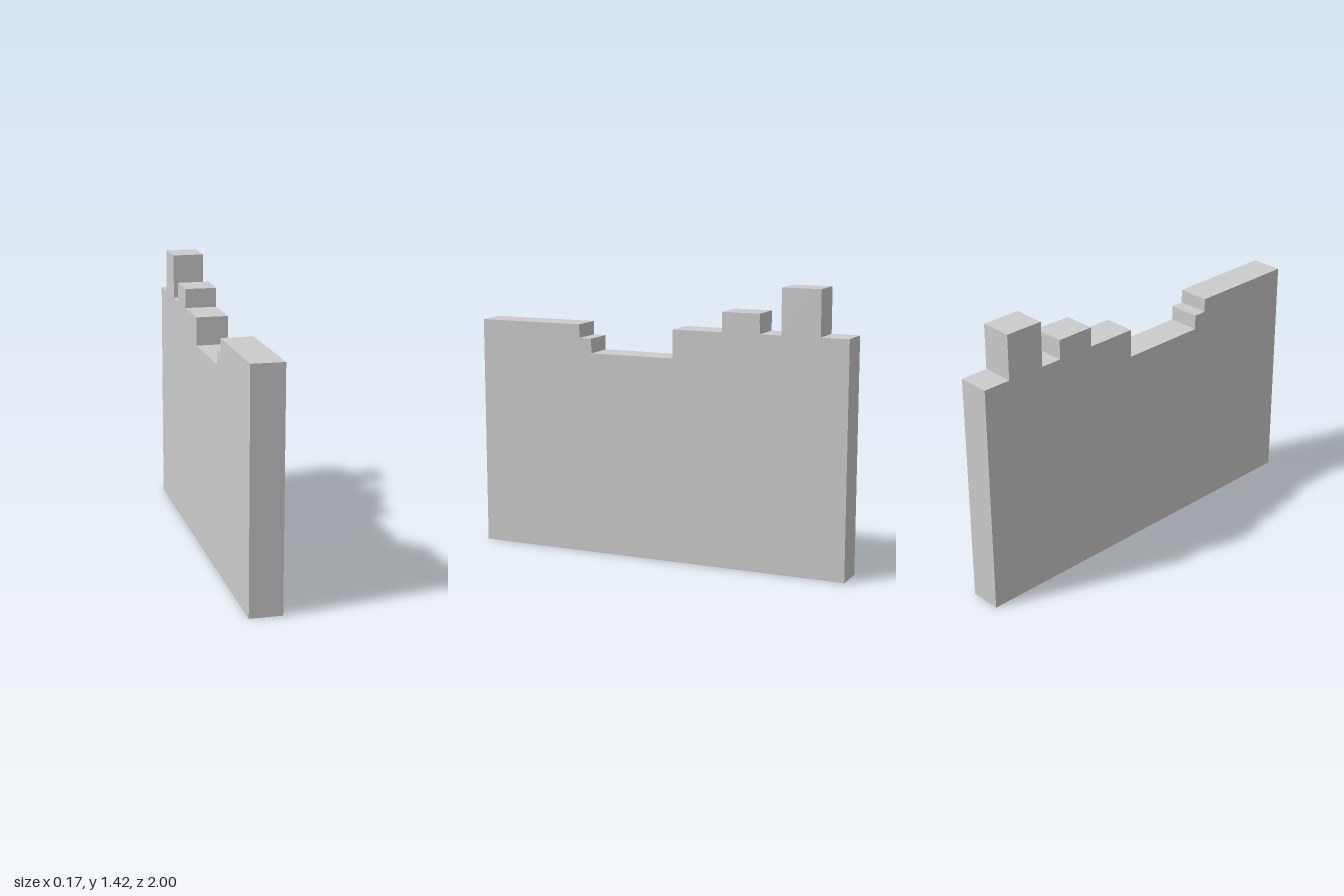
import * as THREE from 'three';

export function createModel() {
  const group = new THREE.Group();
  group.name = 'ruinedWall';
  const material = new THREE.MeshStandardMaterial({ color: 0xcccccc, flatShading: true });
  const left = 0.08, right = -0.083;

  // Stepped wall outline as [z, y], from the back foot round to the back top
  const outline = [
    [-1, 0], [1, 0], [1, 1.19],
    [0.435, 1.19], [0.435, 1.12], [0.367, 1.12], [0.367, 1.045], // broken gap
    [-0.087, 1.045], [-0.087, 1.19],
    [-0.35, 1.19], [-0.35, 1.29], [-0.548, 1.29], [-0.548, 1.19], // low block
    [-0.658, 1.19], [-0.658, 1.42], [-0.857, 1.42], [-0.857, 1.19], // tall block
    [-1, 1.19],
  ];
  const shape = new THREE.Shape(outline.map(([z, y]) => new THREE.Vector2(z, y)));
  const wallGeometry = new THREE.ExtrudeGeometry(shape, { depth: left - right, bevelEnabled: false });
  wallGeometry.rotateY(-Math.PI / 2).translate(left, 0, 0);
  const wall = new THREE.Mesh(wallGeometry, material);
  wall.name = 'wall';
  group.add(wall);

  // Slight bulge on the back upper corner of the low block
  const bulge = new THREE.Mesh(new THREE.BoxGeometry(0.006, 0.05, 0.11), material);
  bulge.name = 'blockBulge';
  bulge.position.set(0.08, 1.265, -0.493);
  group.add(bulge);

  return group;
}
